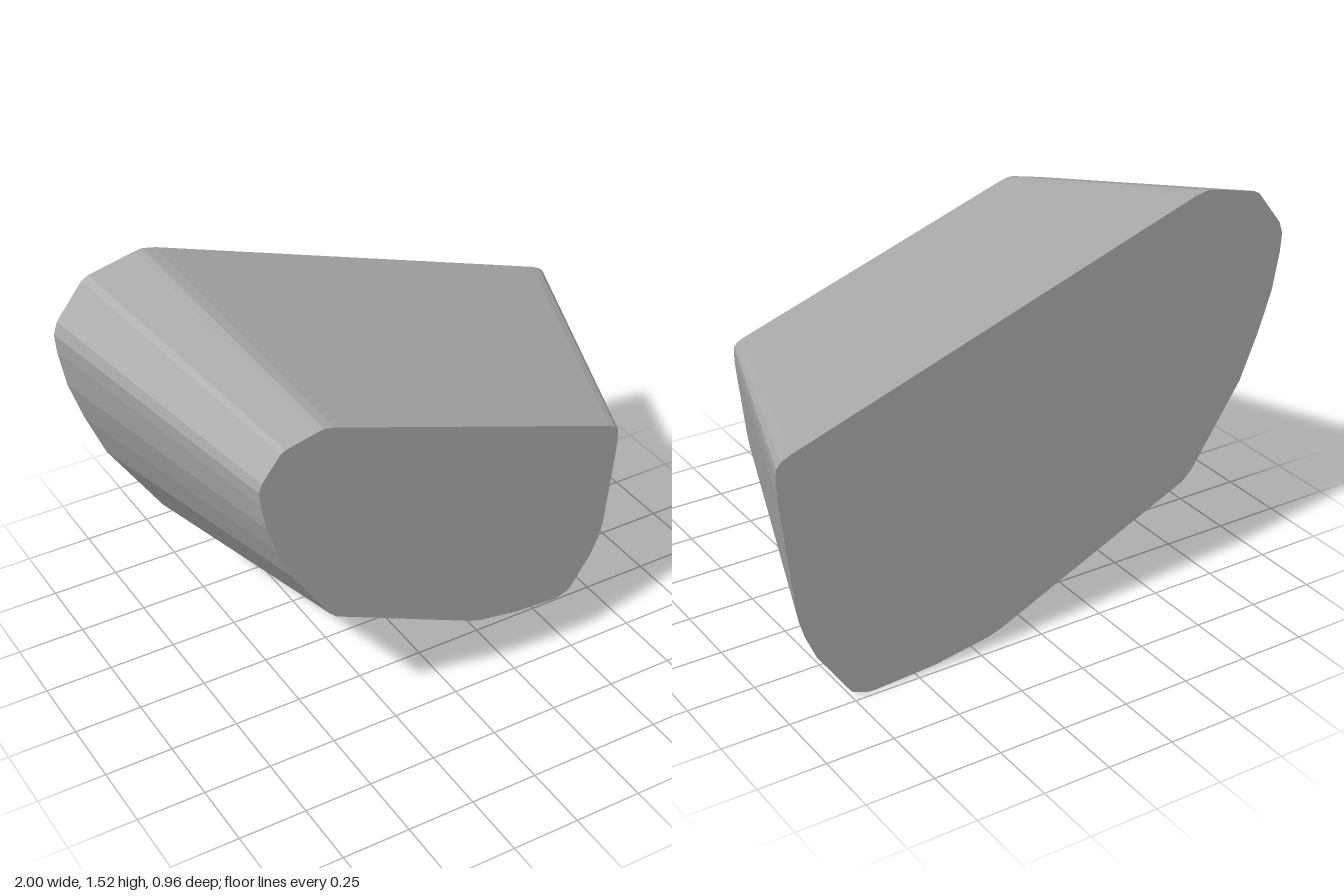
import * as THREE from 'three';

const HALF_DEPTH = 0.48;

// Outline of the large back face, counter-clockwise from the top left
const OUTLINE = [
  [-0.66, 1.522], [-0.69, 1.517], [-0.86, 1.477], [-0.885, 1.463],
  [-0.985, 1.335], [-1, 1.29], [-0.995, 1.22], [-0.97, 1.08], [-0.92, 0.93],
  [-0.85, 0.76], [-0.65, 0.455], [-0.615, 0.422],
  [0.15, 0.072], [0.21, 0.052], [0.43, 0.015], [0.66, 0.001], [0.69, 0.003],
  [0.75, 0.025], [0.77, 0.05], [0.88, 0.21], [0.92, 0.3], [0.94, 0.365], [0.95, 0.43],
  [0.998, 0.845], [1, 0.92], [0.997, 0.945], [0.98, 0.965], [0.945, 0.982],
  [-0.61, 1.512],
];

export function createModel() {
  const group = new THREE.Group();
  group.name = 'taperedBlock';
  const stone = new THREE.MeshStandardMaterial({ color: 0xa8a8a8 });
  stone.name = 'grey';
  stone.flatShading = true;

  // Straight extrusion of the outline from back to front
  const shape = new THREE.Shape(OUTLINE.map(([x, y]) => new THREE.Vector2(x, y)));
  const geometry = new THREE.ExtrudeGeometry(shape, { depth: 2 * HALF_DEPTH, bevelEnabled: false });
  geometry.translate(0, 0, -HALF_DEPTH);

  // Shrink the front face to form the taper
  const p = geometry.attributes.position;
  for (let i = 0; i < p.count; i++) {
    if (p.getZ(i) > 0) p.setXY(i, p.getX(i) * 0.7 - 0.04, p.getY(i) * 0.696 + 0.234);
  }
  geometry.computeVertexNormals();

  const body = new THREE.Mesh(geometry, stone);
  body.name = 'body';
  group.add(body);
  return group;
}
